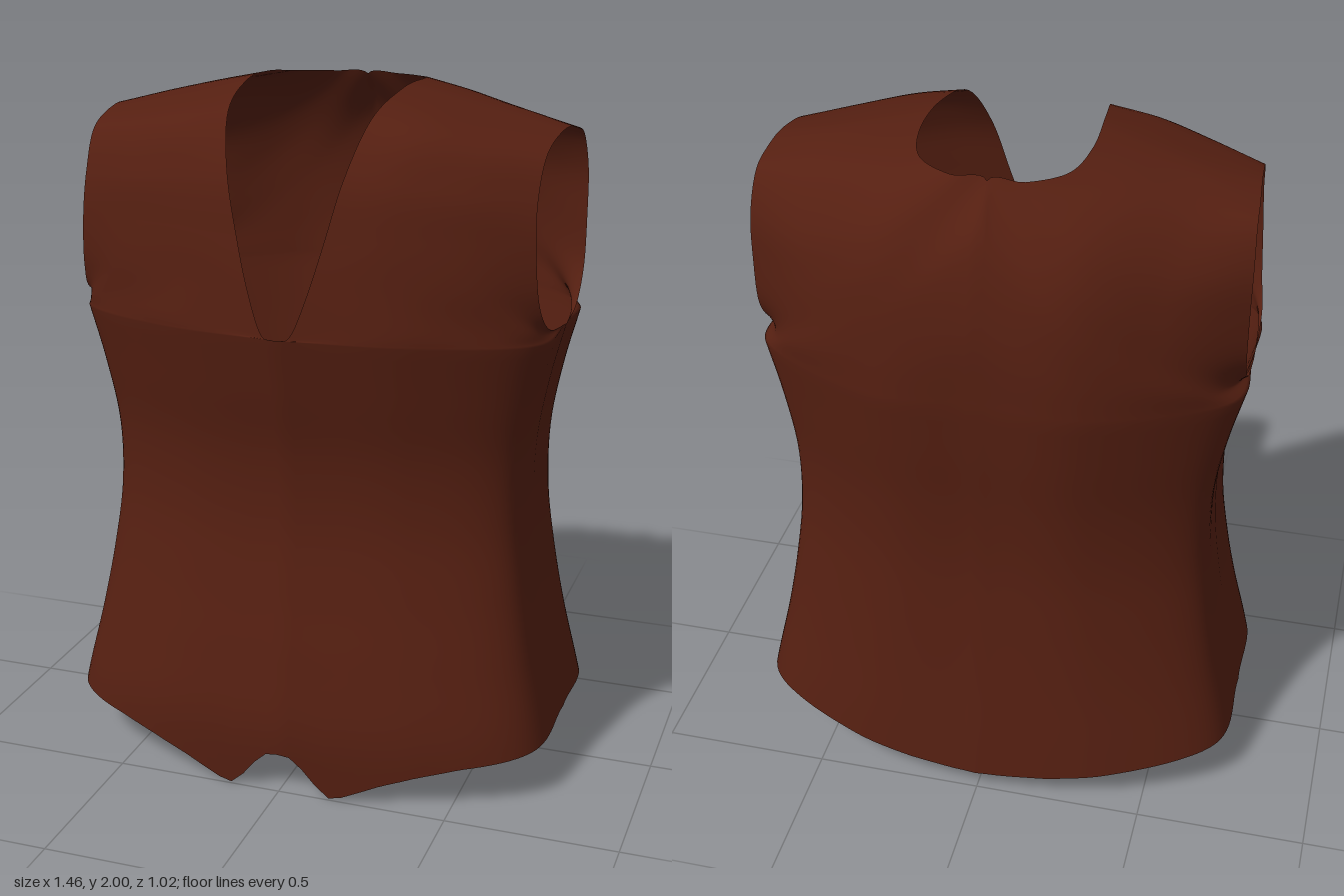
import * as THREE from 'three';
import { mergeGeometries, mergeVertices } from 'three/addons/utils/BufferGeometryUtils.js';

const CHEST = { y: 1.36, w: 0.69, front: 0.5, back: 0.47 };

// Rows run from the neck edge to the armhole edge, climbing the front...
const frontRows = [
  [[0, 1.37, 0.5], [0.36, 1.36, 0.43], [0.66, 1.35, 0.265], [0.69, 1.35, 0]],
  [[0.04, 1.38, 0.49], [0.34, 1.4, 0.435], [0.61, 1.395, 0.31], [0.685, 1.385, 0.2]],
  [[0.08, 1.48, 0.475], [0.3, 1.5, 0.435], [0.51, 1.5, 0.365], [0.67, 1.47, 0.27]],
  [[0.12, 1.62, 0.45], [0.3, 1.64, 0.42], [0.48, 1.64, 0.365], [0.66, 1.62, 0.285]],
  [[0.165, 1.8, 0.405], [0.32, 1.79, 0.385], [0.48, 1.77, 0.34], [0.655, 1.75, 0.262]],
  [[0.205, 1.945, 0.29], [0.35, 1.92, 0.29], [0.5, 1.89, 0.25], [0.66, 1.86, 0.19]],
  [[0.23, 2.0, 0.08], [0.37, 1.97, 0.06], [0.52, 1.935, 0.04], [0.67, 1.9, 0.03]],
];
// ...then over the shoulder and down the back.
const backRows = [
  [[0.235, 2.0, -0.1], [0.37, 1.97, -0.1], [0.53, 1.93, -0.09], [0.68, 1.888, -0.09]],
  [[0.2, 1.985, -0.23], [0.35, 1.94, -0.24], [0.53, 1.88, -0.21], [0.685, 1.855, -0.17]],
  [[0.1, 1.98, -0.3], [0.29, 1.87, -0.36], [0.5, 1.77, -0.31], [0.69, 1.75, -0.22]],
  [[0, 1.975, -0.305], [0.25, 1.78, -0.42], [0.48, 1.65, -0.355], [0.69, 1.62, -0.23]],
  [[0, 1.85, -0.41], [0.25, 1.64, -0.452], [0.5, 1.52, -0.36], [0.69, 1.47, -0.215]],
  [[0, 1.62, -0.465], [0.27, 1.49, -0.46], [0.57, 1.42, -0.325], [0.69, 1.375, -0.13]],
  [[0, 1.36, -0.47], [0.3, 1.36, -0.455], [0.66, 1.35, -0.25], [0.69, 1.35, 0]],
];

const spline = (pts) => new THREE.CatmullRomCurve3(pts, false, 'catmullrom', 0.5);
const rowCurve = (row) => spline(row.map((p) => new THREE.Vector3(...p)));
const table = (Type, xs, ys) => {
  const t = new Type(xs, ys, 1);
  return (x) => t.evaluate(x)[0];
};

// Half width and depths of the torso by height
const heights = [0, 0.2, 0.4, 0.6, 0.8, 1.0, 1.2, CHEST.y];
const halfWidth = table(THREE.CubicInterpolant, heights, [0.762, 0.72, 0.675, 0.64, 0.616, 0.617, 0.65, CHEST.w]);
const frontDepth = table(THREE.CubicInterpolant, heights, [0.505, 0.512, 0.48, 0.44, 0.412, 0.42, 0.464, CHEST.front]);
const backDepth = table(THREE.CubicInterpolant, heights, [0.518, 0.495, 0.47, 0.45, 0.437, 0.441, 0.458, CHEST.back]);

// Hem heights by x: two points and a notch in front, a gentle dip behind
const frontHem = table(THREE.LinearInterpolant,
  [0, 0.03, 0.06, 0.1, 0.135, 0.155, 0.19, 0.3, 0.4, 0.52, 0.73],
  [0.13, 0.128, 0.105, 0.05, 0.008, 0, 0.016, 0.068, 0.103, 0.132, 0.16]);
const backHem = table(THREE.LinearInterpolant,
  [0, 0.08, 0.2, 0.35, 0.5, 0.62, 0.73], [0.07, 0.07, 0.08, 0.102, 0.128, 0.148, 0.16]);

// Grid surface from point(u, v) on the +x half, optionally mirrored
function grid(point, nu, nv, flip, mirror) {
  const pos = [], index = [];
  for (let j = 0; j <= nv; j++) for (let i = 0; i <= nu; i++) {
    const p = point(i / nu, j / nv);
    const x = Math.max(0, p.x);
    pos.push(mirror ? -x : x, p.y, p.z);
  }
  for (let j = 0; j < nv; j++) for (let i = 0; i < nu; i++) {
    const a = j * (nu + 1) + i, b = a + 1, c = a + nu + 1, d = c + 1;
    if (flip !== mirror) index.push(a, d, b, a, c, d);
    else index.push(a, b, d, a, d, c);
  }
  const g = new THREE.BufferGeometry();
  g.setAttribute('position', new THREE.Float32BufferAttribute(pos, 3));
  g.setIndex(index);
  return g;
}

// Torso quarter: blends the hem outline into the chest outline
function torsoPoint(chestRow, hemRow, hem, depth, chestDepth) {
  const chest = rowCurve(chestRow), outline = rowCurve(hemRow);
  return (u, t) => {
    const top = chest.getPoint(u), low = outline.getPoint(u);
    const y = THREE.MathUtils.lerp(hem(Math.max(0, low.x) * 0.73), CHEST.y, t);
    const x = THREE.MathUtils.lerp(low.x, top.x / CHEST.w, t);
    const z = THREE.MathUtils.lerp(low.z, top.z / chestDepth, t);
    return new THREE.Vector3(x * halfWidth(y), y + (top.y - CHEST.y) * t, z * depth(y));
  };
}

export function createModel() {
  const group = new THREE.Group();
  const rows = [...frontRows, ...backRows];
  const curves = rows.map(rowCurve);

  // Shoulder panel: loft through all rows
  const across = new Map();
  const shoulder = (u, v) => {
    if (!across.has(u)) across.set(u, spline(curves.map((c) => c.getPoint(u))));
    return across.get(u).getPoint(v);
  };
  const front = torsoPoint(rows[0],
    [[0, 0, 1], [0.575, 0, 0.9], [0.96, 0, 0.61], [1, 0, 0]], frontHem, frontDepth, CHEST.front);
  const back = torsoPoint(rows[rows.length - 1],
    [[0, 0, -1], [0.54, 0, -0.92], [0.96, 0, -0.61], [1, 0, 0]], backHem, backDepth, CHEST.back);

  const parts = [];
  for (const mirror of [false, true]) {
    parts.push(grid(shoulder, 36, 91, false, mirror));
    parts.push(grid(front, 36, 36, false, mirror));
    parts.push(grid(back, 36, 36, true, mirror));
  }
  const cloth = mergeVertices(mergeGeometries(parts), 1e-4);
  cloth.computeVertexNormals();

  const vest = new THREE.Mesh(cloth, new THREE.MeshStandardMaterial({ color: 0x551f11, side: THREE.DoubleSide }));
  vest.name = 'vest';
  group.add(vest);
  return group;
}
